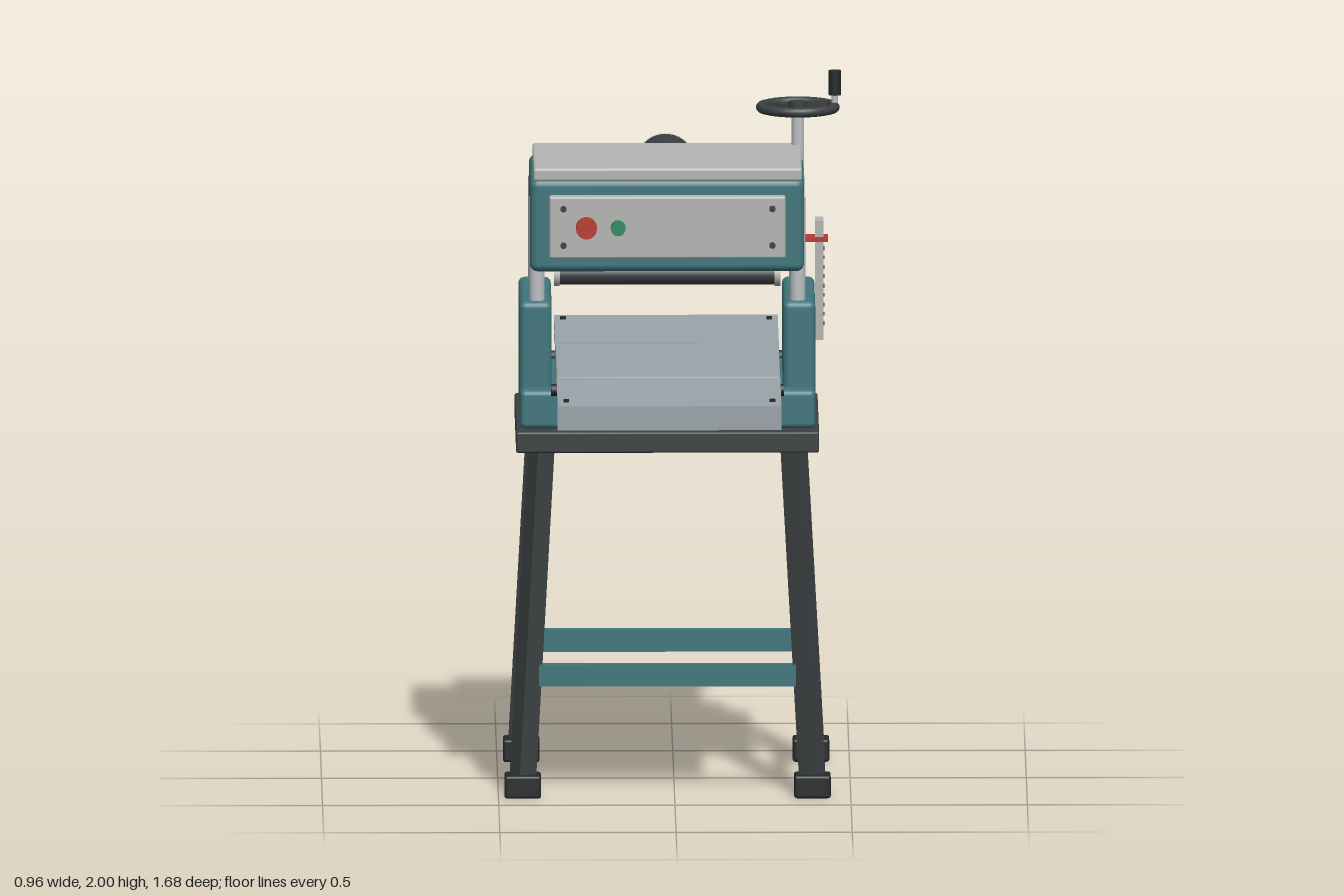
import * as THREE from 'three';
import { RoundedBoxGeometry } from 'three/addons/geometries/RoundedBoxGeometry.js';

const paint = (color) => new THREE.MeshStandardMaterial({ color });
const TEAL = paint(0x3f777d), DARK = paint(0x3b4042), BLACK = paint(0x25292a);
const LIGHT = paint(0xb4b6b2), STEEL = paint(0x9aa4a9), CHROME = paint(0xbcc0c2);
const RED = paint(0xb83a2e), GREEN = paint(0x2f8a62);
const CX = -0.02; // centre line of the machine body

export function createModel() {
  const root = new THREE.Group();
  root.name = 'thicknessPlaner';

  const add = (name, geometry, material, x = 0, y = 0, z = 0) => {
    const mesh = new THREE.Mesh(geometry, material);
    mesh.name = name;
    mesh.position.set(x, y, z);
    root.add(mesh);
    return mesh;
  };
  // box given by its limits, with optional rounded edges
  const block = (name, mat, [x0, x1], [y0, y1], [z0, z1], r = 0) => {
    const s = [x1 - x0, y1 - y0, z1 - z0];
    const geo = r ? new RoundedBoxGeometry(...s, 3, r) : new THREE.BoxGeometry(...s);
    return add(name, geo, mat, (x0 + x1) / 2, (y0 + y1) / 2, (z0 + z1) / 2);
  };
  // cylinder centred at a point along the x, y or z axis
  const rod = (name, mat, axis, r, length, x, y, z, sides = 24) => {
    const geo = new THREE.CylinderGeometry(r, r, length, sides);
    if (axis === 'x') geo.rotateZ(Math.PI / 2);
    if (axis === 'z') geo.rotateX(Math.PI / 2);
    return add(name, geo, mat, x, y, z);
  };
  // square bar between two points
  const bar = (name, mat, a, b, w, h = w) => {
    const p = new THREE.Vector3(...a), q = new THREE.Vector3(...b);
    const mesh = add(name, new THREE.BoxGeometry(w, h, p.distanceTo(q)), mat);
    mesh.position.copy(p).lerp(q, 0.5);
    mesh.lookAt(q);
  };

  // Stand: splayed legs, feet, braces and top plate
  for (const sx of [-1, 1]) for (const sz of [-1, 1]) {
    bar('leg', DARK, [CX + sx * 0.412, 0.03, sz * 0.333], [CX + sx * 0.358, 1.0, sz * 0.3], 0.055);
    const fx = CX + sx * 0.411, fz = sz * 0.335;
    block('foot', BLACK, [fx - 0.052, fx + 0.052], [0, 0.065], [fz - 0.048, fz + 0.048], 0.008);
  }
  for (const s of [-1, 1]) {
    block('longBrace', TEAL, [CX - 0.38, CX + 0.38], [0.315, 0.378], [s * 0.32 - 0.016, s * 0.32 + 0.016]);
    const x = CX + s * 0.39;
    block('sideBrace', TEAL, [x - 0.016, x + 0.016], [0.315, 0.378], [-0.31, 0.31]);
  }
  block('standTop', DARK, [-0.45, 0.41], [0.99, 1.05], [-0.363, 0.363], 0.006);

  // Base casting with a column on either side
  block('base', TEAL, [-0.438, 0.4], [1.05, 1.16], [-0.305, 0.305], 0.015);
  for (const s of [-1, 1]) {
    const x = CX + s * 0.374;
    block('sideColumn', TEAL, [x - 0.046, x + 0.046], [1.08, 1.405], [-0.242, 0.242], 0.018);
    for (const z of [-0.198, 0.2]) {
      rod('guidePost', CHROME, 'y', 0.022, 0.36, CX + s * 0.37, 1.52, z);
      rod('guidePostTop', CHROME, 'y', 0.022, 0.1, CX + s * 0.37, 1.65, z);
    }
  }

  // Bed and the folding tables in front and behind
  block('bed', STEEL, [-0.335, 0.3], [1.15, 1.2], [-0.305, 0.305], 0.004);
  for (const s of [-1, 1]) {
    const span = (a, b) => [Math.min(s * a, s * b), Math.max(s * a, s * b)];
    block('extensionTable', STEEL, [-0.335, 0.3], [1.173, 1.199], span(0.312, 0.84));
    block('tableLip', STEEL, [-0.335, 0.3], [1.13, 1.199], span(0.822, 0.84));
    rod('tableHinge', BLACK, 'x', 0.017, 0.66, CX, 1.163, s * 0.312, 16);
    for (const x of [-0.25, 0.215]) {
      bar('tableStrut', BLACK, [x, 1.095, s * 0.295], [x, 1.163, s * 0.715], 0.026, 0.02);
    }
    for (const x of [-0.31, 0.275]) rod('tableScrew', BLACK, 'y', 0.008, 0.014, x, 1.2, s * 0.76, 12);
  }

  // Cutter head housing, cover and feed rollers
  block('headHousing', TEAL, [-0.41, 0.368], [1.49, 1.757], [-0.248, 0.242], 0.022);
  block('headCover', LIGHT, [-0.4, 0.362], [1.75, 1.788], [-0.238, 0.238], 0.008);
  for (const z of [-0.16, 0.165]) {
    rod('feedRoller', DARK, 'x', 0.03, 0.62, CX, 1.473, z);
    for (const s of [-1, 1]) rod('rollerEnd', LIGHT, 'x', 0.033, 0.016, CX + s * 0.313, 1.472, z);
  }

  // Control panel with two push buttons
  block('controlPanel', LIGHT, [-0.355, 0.315], [1.535, 1.712], [0.235, 0.277], 0.006);
  for (const x of [-0.315, 0.278]) for (const y of [1.573, 1.678]) {
    rod('panelScrew', DARK, 'z', 0.009, 0.012, x, y, 0.28, 12);
  }
  rod('stopButton', RED, 'z', 0.03, 0.036, -0.25, 1.625, 0.292, 16);
  rod('startButton', GREEN, 'z', 0.021, 0.036, -0.16, 1.625, 0.29, 16);

  // Dust hood with chamfered corners and an open round port
  const plan = new THREE.Shape([
    [-0.29, 0.24], [0.255, 0.24], [0.255, 0.39], [0.235, 0.412], [-0.27, 0.412], [-0.29, 0.39],
  ].map((p) => new THREE.Vector2(...p)));
  const hood = new THREE.ExtrudeGeometry(plan, { depth: 0.16, bevelEnabled: false });
  add('dustHood', hood.rotateX(-Math.PI / 2), DARK, 0, 1.591, 0);
  const ring = (name, mat, r0, r1, y0, y1) => {
    const pts = [[r1, y0], [r1, y0], [r1, y1], [r1, y1], [r0, y1], [r0, y1], [r0, y0]];
    const geo = new THREE.LatheGeometry(pts.map((p) => new THREE.Vector2(...p)), 40);
    add(name, geo.rotateX(-Math.PI / 2), mat, CX, 1.675, 0);
  };
  ring('dustPort', DARK, 0.072, 0.083, 0.405, 0.59);
  ring('dustPortRim', LIGHT, 0.071, 0.084, 0.589, 0.596);
  for (const x of [-0.24, 0.2]) for (const y of [1.63, 1.715]) {
    rod('hoodScrew', BLACK, 'z', 0.009, 0.016, x, y, -0.416, 12);
  }

  // Height crank: screw, hub, wheel, spokes and grip
  const hx = 0.353, hz = -0.203, hy = 1.895;
  rod('heightScrew', CHROME, 'y', 0.018, 0.24, hx, 1.775, hz);
  rod('wheelHub', DARK, 'y', 0.026, 0.035, hx, hy, hz);
  add('handWheel', new THREE.TorusGeometry(0.105, 0.014, 12, 48).rotateX(Math.PI / 2), DARK, hx, hy, hz);
  for (let i = 0; i < 3; i++) {
    const a = Math.PI / 2 + i * Math.PI * 2 / 3;
    bar('wheelSpoke', DARK, [hx, hy, hz], [hx + 0.105 * Math.cos(a), hy, hz + 0.105 * Math.sin(a)], 0.018, 0.014);
  }
  rod('gripPin', CHROME, 'y', 0.009, 0.06, hx + 0.105, 1.92, hz, 12);
  rod('crankGrip', BLACK, 'y', 0.018, 0.07, hx + 0.105, 1.965, hz, 20);

  // Thickness scale with graduations and a red pointer
  block('scalePlate', LIGHT, [0.4, 0.424], [1.265, 1.607], [-0.032, 0.05]);
  for (let i = 0; i < 10; i++) {
    const y = 1.305 + i * 0.027;
    block('scaleMark', BLACK, [0.42, 0.427], [y - 0.003, y + 0.003], [-0.022, i % 2 ? 0.005 : 0.018]);
  }
  block('scalePointer', RED, [0.36, 0.437], [1.548, 1.561], [-0.005, 0.058]);

  return root;
}
